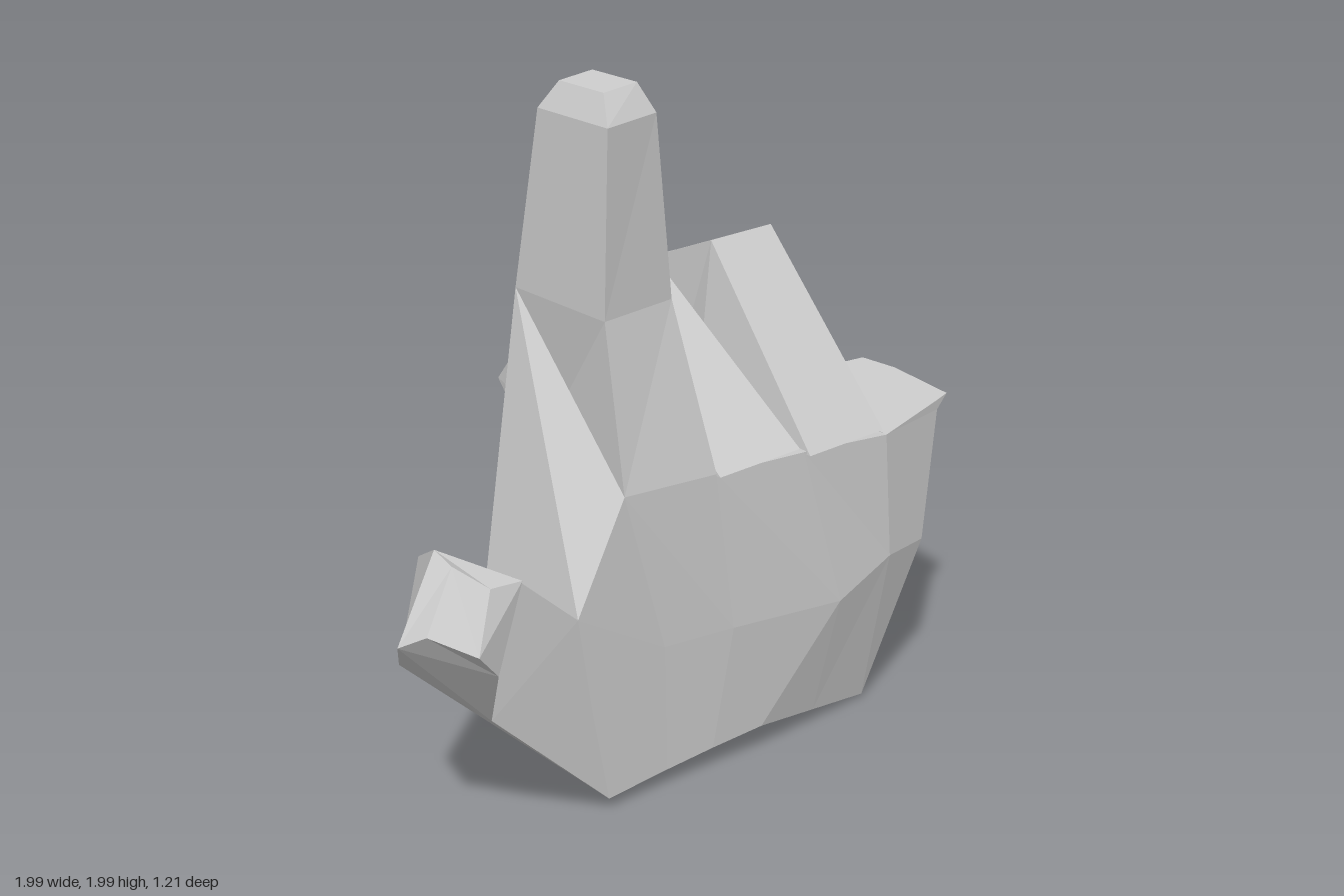
import * as THREE from 'three';

const skin = new THREE.MeshStandardMaterial({ color: 0xcccccc });
skin.name = 'light grey';

// Closed faceted solid through a row of cross-sections with equal corner counts
function loft(name, sections) {
  const tris = [];
  const n = sections[0].length;
  const last = sections[sections.length - 1];
  for (let s = 0; s < sections.length - 1; s++) {
    const a = sections[s], b = sections[s + 1];
    for (let i = 0; i < n; i++) {
      const j = (i + 1) % n;
      tris.push([a[i], a[j], b[j]], [a[i], b[j], b[i]]);
    }
  }
  for (let i = 1; i < n - 1; i++) {
    tris.push([sections[0][0], sections[0][i + 1], sections[0][i]]);
    tris.push([last[0], last[i], last[i + 1]]);
  }
  // Turn the faces outward if the enclosed volume comes out negative
  const v = (p) => new THREE.Vector3(...p);
  const volume = tris.reduce((sum, [a, b, c]) => sum + v(a).dot(v(b).cross(v(c))), 0);
  if (volume < 0) tris.forEach((t) => t.reverse());
  const geometry = new THREE.BufferGeometry();
  geometry.setAttribute('position', new THREE.Float32BufferAttribute(tris.flat(2), 3));
  geometry.computeVertexNormals();
  const mesh = new THREE.Mesh(geometry, skin);
  mesh.name = name;
  return mesh;
}

// Bent finger: each row is [left x, right x, lower right x, outer z, outer y, inner z, inner y]
function bentFinger(name, rows) {
  return loft(name, rows.map(([x0, x1, x2, zo, yo, zi, yi]) => [
    [x0, yo, zo], [x1, yo, zo], [x2, yi, zi], [x0, yi, zi],
  ]));
}

export function createModel() {
  const hand = new THREE.Group();
  hand.name = 'hand';

  // Palm columns from thumb side to little-finger side:
  // front top, front middle, front bottom, back bottom, back middle, back top
  hand.add(loft('palm', [
    [[-0.41, 0.62, 0.43], [-0.36, 0.33, 0.43], [-0.3, 0.04, 0.43],
      [-0.22, 0.03, 0.06], [-0.3, 0.32, 0.03], [-0.39, 0.6, 0.02]],
    [[-0.26, 0.93, 0.44], [-0.12, 0.45, 0.45], [-0.1, 0.06, 0.445],
      [-0.1, 0.03, 0.05], [-0.12, 0.45, 0], [-0.19, 0.9, 0]],
    [[0.04, 0.92, 0.47], [0.1, 0.45, 0.49], [0.06, 0.075, 0.46],
      [0.02, 0.02, 0.03], [0.06, 0.45, 0], [0.05, 0.92, 0]],
    [[0.34, 0.91, 0.5], [0.47, 0.43, 0.54], [0.23, 0.09, 0.48],
      [0.25, 0.01, 0.02], [0.3, 0.45, 0], [0.36, 0.91, 0]],
    [[0.64, 0.89, 0.53], [0.67, 0.51, 0.54], [0.46, 0.05, 0.46],
      [0.52, 0, 0.04], [0.6, 0.45, 0.02], [0.69, 0.9, 0.05]],
    [[0.91, 0.88, 0.48], [0.84, 0.5, 0.51], [0.69, 0.01, 0.44],
      [0.69, 0.01, 0.21], [0.81, 0.5, 0.17], [0.93, 0.88, 0.145]],
  ]));

  // Overhanging lip where the little finger would start
  hand.add(loft('littleFingerLip', [
    [[0.64, 0.88, 0.53], [0.91, 0.88, 0.48], [0.92, 0.88, 0.47],
      [0.93, 0.88, 0.24], [0.93, 0.88, 0.145], [0.69, 0.88, 0.05]],
    [[0.64, 0.89, 0.53], [0.91, 0.91, 0.48], [0.96, 0.915, 0.47],
      [0.99, 0.92, 0.24], [0.98, 0.92, 0.12], [0.68, 0.91, 0.05]],
  ]));

  // Thumb: upper back, upper front, lower front, lower back
  hand.add(loft('thumb', [
    [[-0.39, 0.6, 0.02], [-0.41, 0.62, 0.43], [-0.3, 0.04, 0.43], [-0.22, 0.03, 0.06]],
    [[-0.69, 0.78, 0.12], [-0.62, 0.81, 0.42], [-0.7, 0.43, 0.43], [-0.82, 0.54, 0.2]],
    [[-0.86, 0.96, 0.42], [-0.69, 0.87, 0.55], [-0.8, 0.66, 0.59], [-1, 0.75, 0.45]],
    [[-0.86, 0.94, 0.49], [-0.79, 0.88, 0.55], [-0.87, 0.74, 0.605], [-0.97, 0.8, 0.53]],
  ]));

  // Raised index finger
  hand.add(loft('indexFinger', [
    [[-0.26, 0.93, 0.44], [0.04, 0.92, 0.47], [0.05, 0.92, 0], [-0.19, 0.9, 0]],
    [[-0.26, 1.39, 0.36], [-0.03, 1.4, 0.36], [-0.02, 1.39, 0], [-0.26, 1.39, 0]],
    [[-0.27, 1.9, 0.38], [-0.1, 1.91, 0.37], [-0.09, 1.91, 0.11], [-0.27, 1.9, 0.11]],
    [[-0.24, 1.975, 0.33], [-0.13, 1.985, 0.33], [-0.13, 1.985, 0.16], [-0.24, 1.975, 0.16]],
  ]));
  // Wedge joining the index finger to the thumb web
  hand.add(loft('indexWeb', [
    [[-0.26, 0.93, 0.44], [-0.19, 0.9, 0], [-0.26, 1.39, 0]],
    [[-0.41, 0.62, 0.43], [-0.39, 0.6, 0.02], [-0.39, 0.6, 0.02]],
  ]));

  // Two folded fingers
  hand.add(bentFinger('middleFinger', [
    [0.04, 0.34, 0.36, 0.485, 0.915, 0.0, 0.91],
    [0.08, 0.33, 0.36, -0.155, 1.355, -0.12, 1.03],
    [0.11, 0.335, 0.37, -0.36, 1.125, -0.31, 0.88],
    [0.115, 0.335, 0.36, -0.4, 1.08, -0.34, 0.81],
    [0.145, 0.34, 0.34, -0.595, 0.855, -0.53, 0.78],
  ]));
  hand.add(bentFinger('ringFinger', [
    [0.35, 0.64, 0.68, 0.515, 0.9, 0.06, 0.9],
    [0.4, 0.635, 0.67, 0.055, 1.395, -0.05, 1.06],
    [0.42, 0.63, 0.665, -0.33, 1.225, -0.33, 1.0],
    [0.425, 0.63, 0.655, -0.39, 1.2, -0.39, 0.955],
    [0.44, 0.63, 0.635, -0.605, 1.105, -0.575, 0.97],
  ]));

  return hand;
}
